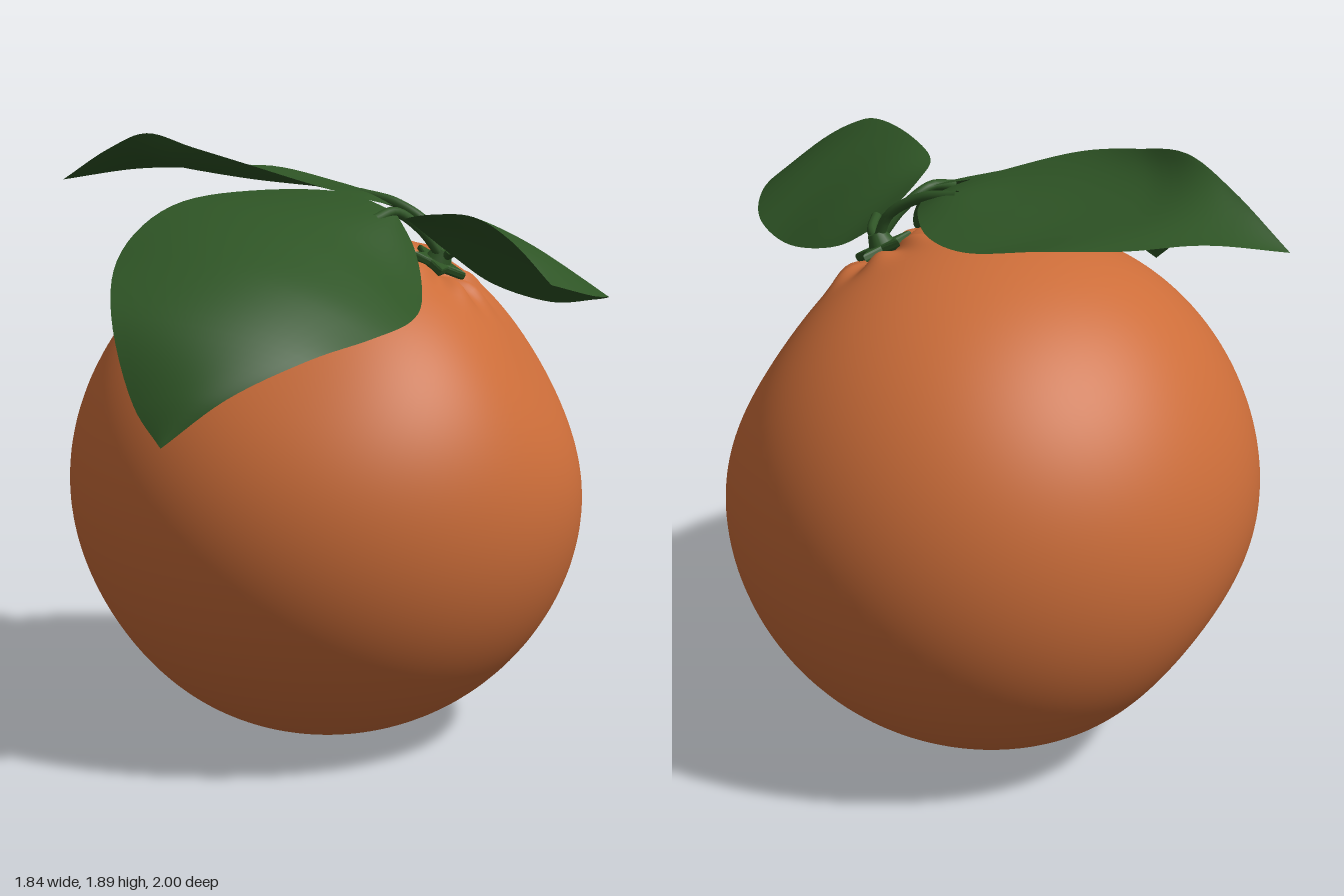
import * as THREE from 'three';
import { mergeVertices } from 'three/addons/utils/BufferGeometryUtils.js';

const V = (x, y, z) => new THREE.Vector3(x, y, z);

// Weld seams and recompute smooth normals
function smooth(geo) {
  geo.deleteAttribute('uv');
  geo.deleteAttribute('normal');
  const g = mergeVertices(geo, 1e-5);
  g.computeVertexNormals();
  return g;
}

// Leaf blade lofted between two edge curves and a midrib
function leafGeometry(edgeA, rib, edgeB) {
  const [a, m, b] = [edgeA, rib, edgeB].map(
    pts => new THREE.CatmullRomCurve3(pts.map(p => V(...p)), false, 'centripetal'));
  const geo = new THREE.PlaneGeometry(1, 1, 16, 42);
  const pos = geo.attributes.position;
  const n = rib.length - 1;
  for (let i = 0; i < pos.count; i++) {
    const v = pos.getX(i) * 2, u = THREE.MathUtils.clamp(pos.getY(i) + 0.5, 0, 1);
    const p = V(0, 0, 0)
      .addScaledVector(a.getPoint(u), v * (v - 1) / 2)
      .addScaledVector(m.getPoint(u), 1 - v * v)
      .addScaledVector(b.getPoint(u), v * (v + 1) / 2);
    pos.setXYZ(i, p.x, p.y, p.z);
  }
  return smooth(geo);
}

export function createModel() {
  const group = new THREE.Group();
  const peel = new THREE.MeshStandardMaterial({ name: 'orange peel', color: 0xcc6d39 });
  const green = new THREE.MeshStandardMaterial({ name: 'leaf green', color: 0x2e5425, side: THREE.DoubleSide });
  const add = (name, geo, mat) => {
    const mesh = new THREE.Mesh(geo, mat);
    mesh.name = name;
    group.add(mesh);
    return mesh;
  };

  const center = V(0, 0.8, -0.185);
  const axis = V(0.36, 0.73, 0.045).normalize();
  const tilt = new THREE.Quaternion().setFromUnitVectors(V(0, 1, 0), axis);

  // Fruit: sphere with broad bumps and dents, and creases around the stem
  const bumps = [
    [V(0.83, 0.5, 0), -0.062, 0.42],
    [V(-0.8, -0.57, 0), -0.045, 0.4],
    [V(-0.5, 0.8, 0), 0.015, 0.4],
    [V(0, 0.6, 0.75), -0.03, 0.4],
  ].map(([d, k, w]) => [d.normalize(), k, w]);
  const fruit = new THREE.SphereGeometry(1, 112, 110);
  const pos = fruit.attributes.position;
  for (let i = 0; i < pos.count; i++) {
    const d = V(0, 0, 0).fromBufferAttribute(pos, i);
    const theta = Math.acos(THREE.MathUtils.clamp(d.y, -1, 1));
    const phi = Math.atan2(d.z, d.x);
    d.applyQuaternion(tilt).normalize();
    let r = 0.815;
    for (const [dir, k, w] of bumps) r += k * Math.exp(-((d.angleTo(dir) / w) ** 2));
    r -= 0.035 * Math.exp(-((theta / 0.09) ** 2));
    r += 0.012 * Math.exp(-(((theta - 0.17) / 0.09) ** 2)) * (0.4 + Math.cos(7 * phi + 0.8 * Math.sin(2 * phi)));
    pos.setXYZ(i, d.x * r, d.y * r * 0.985, d.z * r);
  }
  add('fruit', smooth(fruit), peel).position.copy(center);

  // Calyx: five-pointed star with a small button
  const star = new THREE.Shape();
  for (let i = 0; i < 10; i++) {
    const a = i * Math.PI / 5, r = i % 2 ? 0.042 : 0.085;
    star[i ? 'lineTo' : 'moveTo'](Math.cos(a) * r, Math.sin(a) * r);
  }
  const starGeo = new THREE.ExtrudeGeometry(star, {
    depth: 0.012, bevelEnabled: true, bevelSize: 0.008, bevelThickness: 0.008, bevelSegments: 2 });
  starGeo.rotateX(-Math.PI / 2);
  const calyx = new THREE.Group();
  calyx.name = 'calyx';
  const sepals = new THREE.Mesh(starGeo, green);
  sepals.name = 'sepals';
  const button = new THREE.Mesh(new THREE.CylinderGeometry(0.028, 0.045, 0.05, 20), green);
  button.name = 'stemButton';
  button.position.y = 0.03;
  calyx.add(sepals, button);
  calyx.quaternion.copy(tilt);
  calyx.position.copy(center).addScaledVector(axis, 0.79);
  group.add(calyx);

  // Leaf stalks
  const stalks = {
    sideStalk: [[0.37, 1.53, -0.14], [0.33, 1.62, -0.15], [0.22, 1.69, -0.17], [0.1, 1.715, -0.2]],
    frontStalk: [[0.37, 1.53, -0.13], [0.31, 1.62, -0.09], [0.24, 1.68, -0.03], [0.19, 1.665, 0.05]],
    smallStalk: [[0.37, 1.53, -0.14], [0.4, 1.55, -0.1], [0.41, 1.57, -0.03]],
  };
  for (const [name, pts] of Object.entries(stalks)) {
    const path = new THREE.CatmullRomCurve3(pts.map(p => V(...p)));
    add(name, new THREE.TubeGeometry(path, 16, 0.016, 10), green);
  }

  // Large leaf reaching to the side
  let base = [0.22, 1.68, -0.17], tip = [-0.92, 1.71, -0.41];
  add('sideLeaf', leafGeometry(
    [base, [0.14, 1.71, -0.08], [-0.02, 1.76, -0.02], [-0.22, 1.82, 0], [-0.4, 1.86, -0.06], [-0.57, 1.89, -0.16], [-0.72, 1.83, -0.26], tip],
    [base, [0.12, 1.72, -0.2], [-0.08, 1.73, -0.25], [-0.28, 1.74, -0.3], [-0.46, 1.76, -0.33], [-0.62, 1.78, -0.36], [-0.76, 1.76, -0.38], tip],
    [base, [0.2, 1.68, -0.27], [0.1, 1.68, -0.48], [-0.06, 1.7, -0.63], [-0.28, 1.74, -0.675], [-0.5, 1.74, -0.61], [-0.7, 1.74, -0.5], tip],
  ), green);

  // Large leaf drooping over the front
  base = [0.24, 1.68, -0.03]; tip = [-0.23, 1.15, 1.0];
  add('frontLeaf', leafGeometry(
    [base, [0.31, 1.58, 0.04], [0.36, 1.46, 0.2], [0.36, 1.42, 0.4], [0.28, 1.4, 0.6], [0.14, 1.37, 0.8], [-0.06, 1.28, 0.94], tip],
    [base, [0.2, 1.67, 0.06], [0.1, 1.66, 0.22], [0.03, 1.63, 0.42], [-0.05, 1.57, 0.64], [-0.12, 1.45, 0.83], [-0.18, 1.29, 0.95], tip],
    [base, [0.08, 1.73, -0.07], [-0.2, 1.74, 0.02], [-0.38, 1.72, 0.27], [-0.46, 1.62, 0.54], [-0.42, 1.48, 0.8], [-0.32, 1.25, 0.94], tip],
  ), green);

  // Small leaf tilted down to the other side
  base = [0.4, 1.55, -0.08]; tip = [0.79, 1.58, 0.67];
  add('smallLeaf', leafGeometry(
    [base, [0.53, 1.47, -0.05], [0.72, 1.43, 0.03], [0.86, 1.46, 0.15], [0.92, 1.5, 0.34], [0.89, 1.53, 0.52], tip],
    [base, [0.42, 1.58, 0.03], [0.5, 1.62, 0.14], [0.6, 1.64, 0.28], [0.7, 1.65, 0.4], [0.77, 1.63, 0.53], tip],
    [base, [0.31, 1.66, 0.08], [0.31, 1.69, 0.2], [0.41, 1.72, 0.32], [0.54, 1.73, 0.43], [0.67, 1.68, 0.57], tip],
  ), green);

  return group;
}
